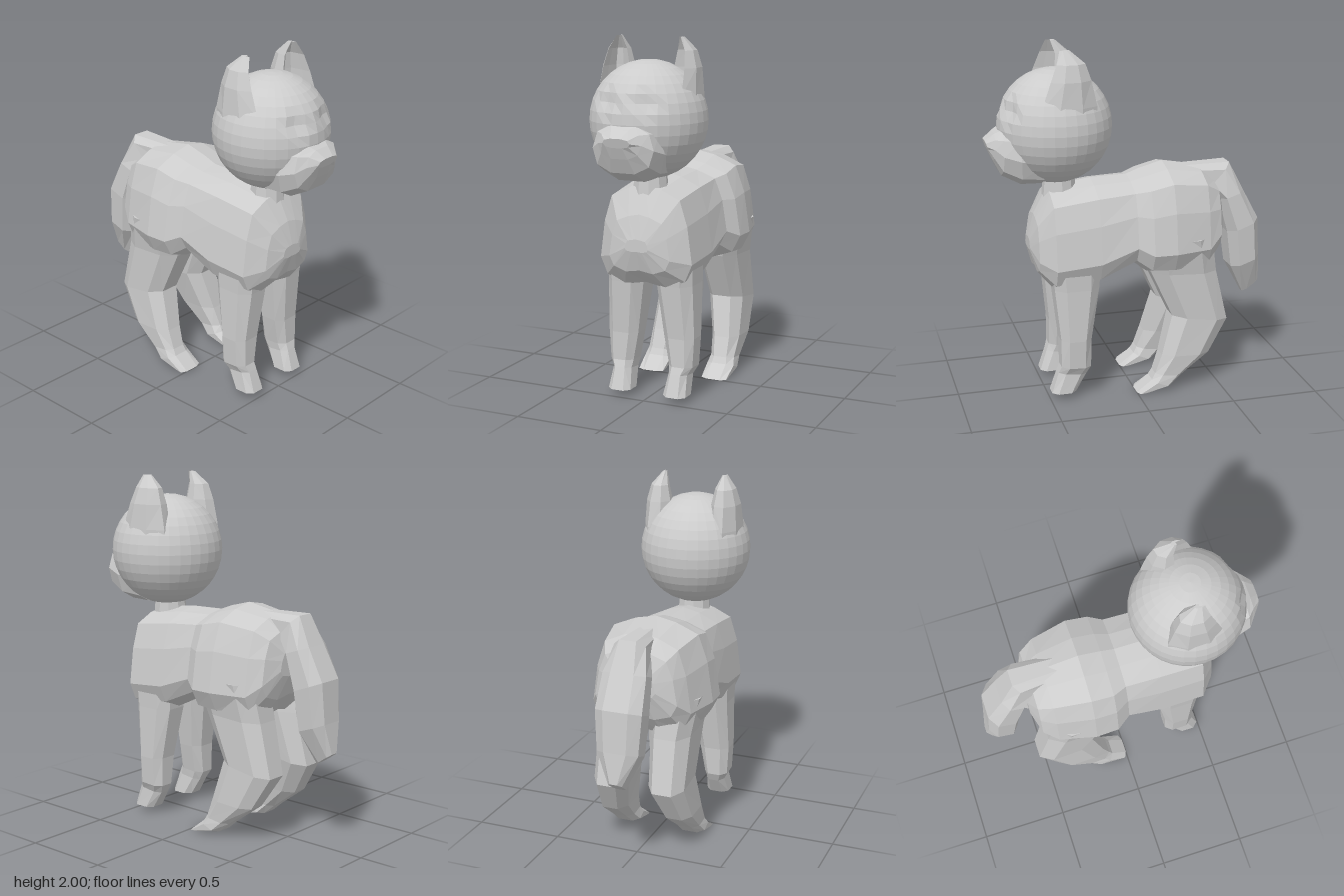
import * as THREE from 'three';

const material = new THREE.MeshStandardMaterial({ color: 0xcccccc, flatShading: true });

function addMesh(parent, name, geometry) {
  const mesh = new THREE.Mesh(geometry, material);
  mesh.name = name;
  parent.add(mesh);
  return mesh;
}

// Closed solid through a list of rings, each ring a list of [x, y, z].
function loft(rings) {
  const n = rings[0].length, pos = rings.flat(2), index = [];
  for (let r = 0; r < rings.length - 1; r++) {
    for (let i = 0; i < n; i++) {
      const a = r * n + i, b = r * n + (i + 1) % n;
      index.push(a, b, a + n, b, b + n, a + n);
    }
  }
  [0, rings.length - 1].forEach((r, end) => {
    const center = pos.length / 3;
    for (let k = 0; k < 3; k++) pos.push(rings[r].reduce((s, p) => s + p[k], 0) / n);
    for (let i = 0; i < n; i++) {
      const a = r * n + i, b = r * n + (i + 1) % n;
      index.push(...(end ? [a, b, center] : [b, a, center]));
    }
  });
  // Turn the faces outward when the enclosed volume is negative.
  const v = (i) => new THREE.Vector3().fromArray(pos, i * 3);
  let volume = 0;
  for (let i = 0; i < index.length; i += 3) {
    volume += v(index[i]).dot(v(index[i + 1]).cross(v(index[i + 2])));
  }
  if (volume < 0) index.reverse();
  const geometry = new THREE.BufferGeometry();
  geometry.setAttribute('position', new THREE.Float32BufferAttribute(pos, 3));
  geometry.setIndex(index);
  geometry.computeVertexNormals();
  return geometry;
}

// Rounded ring: one axis runs from back point to front point, the other along z.
function ring([xa, ya], [xb, yb], za, zb, n = 8, power = 0.7) {
  const bulge = (t) => Math.sign(t) * Math.abs(t) ** power;
  return Array.from({ length: n }, (_, i) => {
    const angle = ((i + 0.5) / n) * Math.PI * 2;
    const edge = Math.cos(Math.PI / n) ** power;
    const u = 0.5 + 0.5 * bulge(Math.cos(angle)) / edge;
    const w = 0.5 + 0.5 * bulge(Math.sin(angle)) / edge;
    return [xa + (xb - xa) * u, ya + (yb - ya) * u, za + (zb - za) * w];
  });
}

// Trunk cross-section: [height, width] from the spine to the belly.
const TRUNK = [[1, 0], [0.96, 0.35], [0.87, 0.74], [0.62, 0.9], [0.25, 1], [0.08, 0.85], [0, 0.45], [0.04, 0]];
function trunkRing([x, bottom, top, width]) {
  const half = TRUNK.map(([h, w]) => [x, bottom + (top - bottom) * h, width * w]);
  return [...half, ...half.slice(1, -1).reverse().map(([a, b, c]) => [a, b, -c])];
}

function createHead() {
  const head = new THREE.Group();
  head.name = 'head';

  // Skull with shallow eye sockets pressed into its face
  const skull = new THREE.SphereGeometry(0.32, 32, 18);
  const p = skull.attributes.position;
  for (let i = 0; i < p.count; i++) {
    const x = p.getX(i), y = p.getY(i), z = p.getZ(i);
    const d = Math.hypot(y - 0.11, (Math.abs(z) - 0.11) * 0.8);
    if (x > 0 && d < 0.06) p.setX(i, x - 0.03 * (1 - d / 0.08));
  }
  skull.translate(0.41, 1.56, 0);
  addMesh(head, 'skull', skull);

  // Muzzle: [bottom x, bottom y, top x, top y, half width]
  const muzzle = [
    [0.5, 1.25, 0.5, 1.5, 0.17],
    [0.62, 1.255, 0.64, 1.56, 0.19],
    [0.725, 1.31, 0.715, 1.56, 0.17],
    [0.765, 1.39, 0.755, 1.54, 0.12],
    [0.79, 1.45, 0.805, 1.5, 0.075],
  ];
  addMesh(head, 'muzzle', loft(muzzle.map(([a, b, c, d, w]) => ring([a, b], [c, d], -w, w, 10, 0.8))));

  // Cupped ears, hollow toward the face
  const ear = [
    // y, back x, front x, inner z, outer z
    [1.6, 0.22, 0.54, 0.12, 0.29],
    [1.7, 0.22, 0.525, 0.12, 0.285],
    [1.84, 0.25, 0.475, 0.125, 0.275],
    [1.93, 0.28, 0.44, 0.145, 0.25],
    [2.0, 0.36, 0.415, 0.17, 0.195],
  ];
  const crescent = [[0.3, 0], [0.05, 0.25], [0, 0.65], [0.3, 0.97], [0.7, 1], [1, 0.75],
    [0.75, 0.72], [0.45, 0.66], [0.4, 0.4], [0.55, 0.05]];
  for (const side of [1, -1]) {
    addMesh(head, side > 0 ? 'leftEar' : 'rightEar', loft(ear.map(([y, xa, xb, za, zb]) =>
      crescent.map(([u, w]) => [xa + (xb - xa) * u, y, side * (za + (zb - za) * w)]))));
  }
  return head;
}

export function createModel() {
  const model = new THREE.Group();
  model.name = 'animal';

  // Trunk: [x, bottom, top, half width]
  const trunk = [
    [-0.54, 0.95, 1.1, 0.13], [-0.5, 0.82, 1.21, 0.24], [-0.42, 0.71, 1.28, 0.29],
    [-0.21, 0.7, 1.315, 0.34], [-0.08, 0.71, 1.28, 0.335], [0, 0.77, 1.25, 0.285],
    [0.21, 0.67, 1.245, 0.285], [0.46, 0.65, 1.21, 0.275], [0.54, 0.74, 1.06, 0.18],
    [0.575, 0.86, 0.93, 0.07],
  ];
  addMesh(model, 'trunk', loft(trunk.map(trunkRing)));

  const neck = new THREE.CylinderGeometry(0.085, 0.1, 0.16, 10);
  addMesh(model, 'neck', neck.translate(0.39, 1.23, 0));
  model.add(createHead());

  // Legs: [back point, front point, inner z, outer z] from hip to toe
  const hindLeg = [
    [[-0.44, 0.92], [-0.05, 0.9], 0.05, 0.31],
    [[-0.475, 0.7], [-0.09, 0.72], 0.04, 0.275],
    [[-0.545, 0.4], [-0.215, 0.45], 0.06, 0.27],
    [[-0.43, 0.21], [-0.15, 0.22], 0.11, 0.28],
    [[-0.27, 0.09], [-0.11, 0.11], 0.13, 0.275],
    [[-0.2, 0.03], [-0.09, 0.075], 0.12, 0.285],
    [[-0.07, 0.01], [0, 0.004], 0.125, 0.28],
  ];
  const foreLeg = [
    [[0.2, 0.85], [0.49, 0.85], 0.06, 0.26],
    [[0.21, 0.66], [0.465, 0.66], 0.04, 0.255],
    [[0.26, 0.36], [0.435, 0.36], 0.08, 0.26],
    [[0.265, 0.19], [0.435, 0.2], 0.11, 0.25],
    [[0.29, 0.14], [0.45, 0.16], 0.115, 0.225],
    [[0.35, 0.04], [0.49, 0.04], 0.1, 0.235],
  ];
  for (const side of [1, -1]) {
    const prefix = side > 0 ? 'left' : 'right';
    for (const [name, leg] of [['HindLeg', hindLeg], ['ForeLeg', foreLeg]]) {
      addMesh(model, prefix + name, loft(leg.map(([a, b, zi, zo]) => ring(a, b, side * zi, side * zo))));
    }
  }

  // Tail: [inner point, outer point, half width] from rump to tip
  const tail = [
    [[-0.34, 1.16], [-0.34, 1.285], 0.07],
    [[-0.46, 1.14], [-0.6, 1.29], 0.09],
    [[-0.535, 1.08], [-0.68, 1.13], 0.125],
    [[-0.59, 0.88], [-0.775, 0.95], 0.135],
    [[-0.62, 0.66], [-0.79, 0.72], 0.12],
    [[-0.71, 0.48], [-0.81, 0.55], 0.04],
  ];
  addMesh(model, 'tail', loft(tail.map(([a, b, w]) => ring(a, b, -w, w))));
  return model;
}
